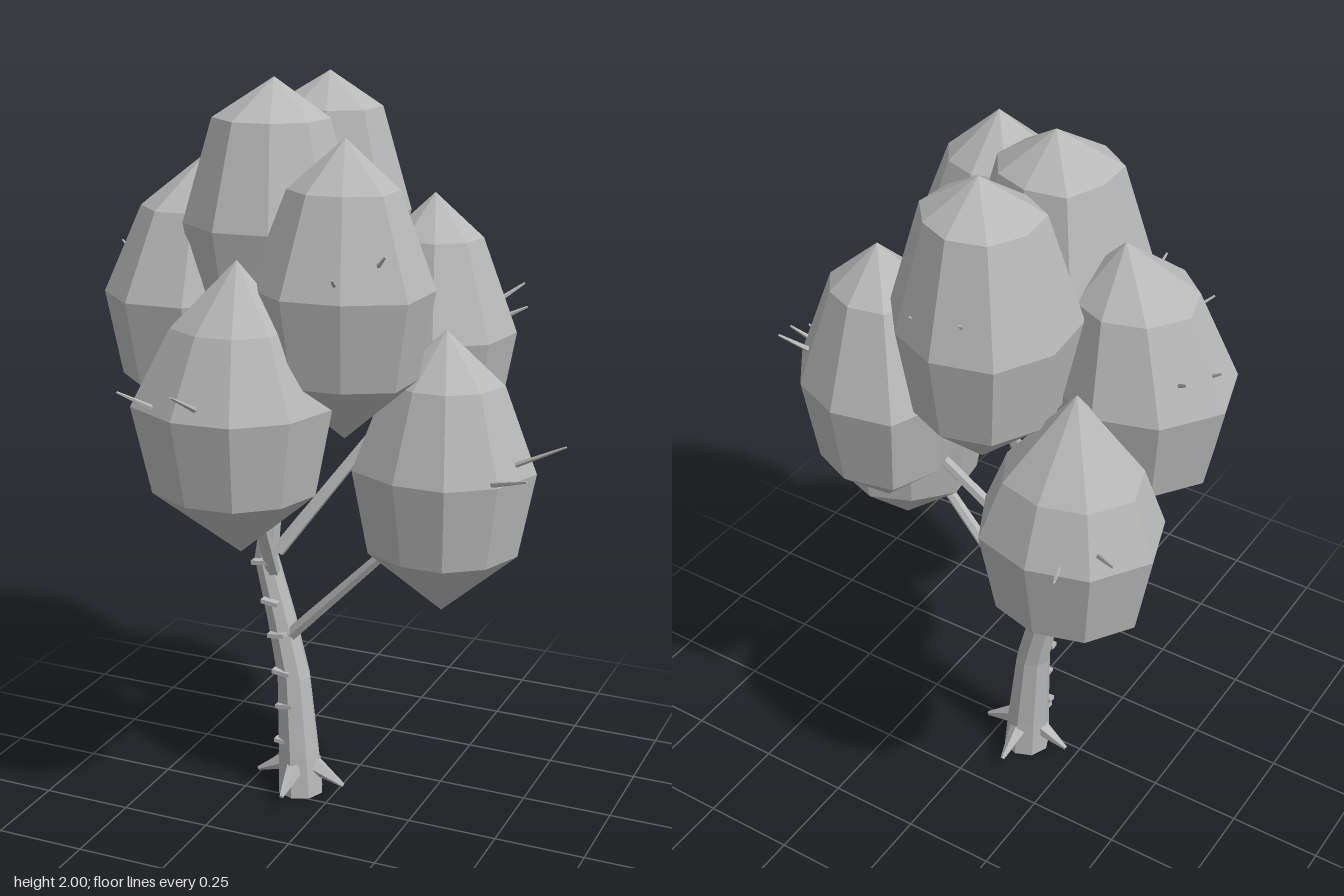
import * as THREE from 'three';

const grey = new THREE.MeshStandardMaterial({ color: 0xb8b8b8, flatShading: true });
grey.name = 'plainGrey';

const V = (x, y, z) => new THREE.Vector3(x, y, z);

function add(parent, geometry, name) {
  const mesh = new THREE.Mesh(geometry, grey);
  mesh.name = name;
  parent.add(mesh);
  return mesh;
}

// Tapered stick between two points
function stick(parent, a, b, ra, rb, sides, name) {
  const mesh = add(parent, new THREE.CylinderGeometry(rb, ra, a.distanceTo(b), sides), name);
  mesh.position.copy(a).lerp(b, 0.5);
  mesh.quaternion.setFromUnitVectors(V(0, 1, 0), b.clone().sub(a).normalize());
}

// Closed skin over a list of rings, capped at a bottom and a top point
function skin(rings, bottom, top) {
  const n = rings[0].length;
  const pos = [bottom, ...rings.flat(), top].flatMap((p) => [p.x, p.y, p.z]);
  const at = (r, i) => 1 + r * n + (i % n);
  const last = rings.length - 1;
  const index = [];
  for (let i = 0; i < n; i++) {
    index.push(0, at(0, i), at(0, i + 1));
    for (let r = 0; r < last; r++) {
      index.push(at(r, i), at(r + 1, i), at(r + 1, i + 1), at(r, i), at(r + 1, i + 1), at(r, i + 1));
    }
    index.push(at(last, i), pos.length / 3 - 1, at(last, i + 1));
  }
  const g = new THREE.BufferGeometry();
  g.setAttribute('position', new THREE.Float32BufferAttribute(pos, 3));
  g.setIndex(index);
  g.computeVertexNormals();
  return g;
}

// Ring of points, one per radius, starting at the back
function ring(c, radii) {
  return radii.map((r, i) => {
    const a = (i / radii.length - 0.25) * Math.PI * 2;
    return V(c.x + Math.cos(a) * r, c.y, c.z + Math.sin(a) * r);
  });
}

// Faceted leaf clump: tip at the bottom, widest at mid height, leaning crown
function clump({ base: [x, y, z], crown: [crownAt, crownSize], lean: [dx, dz], radii }) {
  const h = 0.76;
  const profile = [[0.22, 0.82, 0], [0.52, 1, 0], [crownAt, crownSize, 0.5]];
  const rings = profile.map(([f, k, t]) =>
    ring(V(x + dx * t, y + f * h, z + dz * t), radii.map((r) => (r / 100) * k)));
  return skin(rings, V(x, y, z), V(x + dx, y + h, z + dz));
}

// Bottom tip, crown ring height and size, crown lean, outline radii in hundredths
const CLUMPS = {
  frontClump: { base: [-0.11, 0.84, 0.29], crown: [0.78, 0.62], lean: [0, 0],
    radii: [22, 22, 24, 22, 22, 23, 27, 23, 22] },
  leftClump: { base: [0.33, 0.64, -0.005], crown: [0.82, 0.64], lean: [0, 0],
    radii: [21, 21, 24, 21, 20, 20, 24, 23.5, 20.5] },
  backRightClump: { base: [-0.39, 0.74, -0.315], crown: [0.72, 0.75], lean: [0, 0],
    radii: [22.5, 24, 23, 22, 22, 22, 22, 24.5, 23.5] },
  rightClump: { base: [-0.415, 1.03, -0.06], crown: [0.82, 0.66], lean: [0.035, -0.03],
    radii: [23, 22, 24, 22, 23, 24, 23.5, 25.5, 24] },
  crownFrontClump: { base: [-0.155, 1.24, -0.03], crown: [0.87, 0.67], lean: [-0.01, -0.02],
    radii: [21, 21, 22, 22, 21, 22.5, 24, 21.5, 24] },
  crownBackClump: { base: [-0.135, 1.23, -0.325], crown: [0.88, 0.64], lean: [0.01, 0.01],
    radii: [21.5, 20.5, 23, 24, 21, 21, 24, 22.5, 23] },
  frontLeftClump: { base: [0.115, 1.13, 0.145], crown: [0.84, 0.6], lean: [0, 0],
    radii: [21.5, 22, 23, 25, 21.5, 23, 24, 21, 22] },
  backLeftClump: { base: [0.195, 0.935, -0.27], crown: [0.85, 0.58], lean: [0, 0],
    radii: [22, 21, 22.5, 22.5, 21.5, 21, 22, 22, 24.5] },
};

export function createModel() {
  const tree = new THREE.Group();
  tree.name = 'tree';

  for (const [name, spec] of Object.entries(CLUMPS)) add(tree, clump(spec), name);

  // Bent trunk
  const path = [
    [-0.1, 0, -0.05, 0.066], [-0.105, 0.12, -0.05, 0.06], [-0.122, 0.35, -0.055, 0.048],
    [-0.16, 0.52, -0.058, 0.042], [-0.205, 0.69, -0.06, 0.035], [-0.178, 0.9, -0.06, 0.027],
    [-0.16, 1.35, -0.04, 0.018],
  ];
  const centres = path.map(([x, y, z]) => V(x, y, z));
  add(tree, skin(path.map((p, i) => ring(centres[i], Array(8).fill(p[3]))),
    centres[0], centres[path.length - 1]), 'trunk');

  // Root spikes
  for (let i = 0; i < 4; i++) {
    const a = (i * Math.PI) / 2;
    const out = (r, y) => V(-0.1 + Math.cos(a) * r, y, -0.05 + Math.sin(a) * r);
    stick(tree, out(0.03, 0.09), out(0.132, 0.037), 0.03, 0.006, 5, 'root');
  }

  // Bark ridges up the front of the trunk
  const marks = [[-0.135, 0.16], [-0.13, 0.27], [-0.14, 0.37], [-0.153, 0.48],
    [-0.172, 0.575], [-0.2, 0.69], [-0.195, 0.79]];
  marks.forEach(([x, y], i) => {
    const m = add(tree, new THREE.BoxGeometry(0.05, 0.012, 0.022), 'barkRidge');
    m.position.set(x, y, -0.012);
    m.rotation.z = i % 2 ? 0.12 : -0.12;
  });

  // Branches from the trunk into the clumps
  const branches = [
    [-0.13, 0.47, -0.045, 'leftClump'], [-0.2, 0.7, -0.06, 'backRightClump'],
    [-0.18, 0.65, -0.05, 'frontClump'], [-0.17, 0.71, -0.06, 'backLeftClump'],
    [-0.18, 0.8, -0.06, 'crownBackClump'], [-0.175, 0.9, -0.05, 'frontLeftClump'],
  ];
  branches.forEach(([x, y, z, name]) => {
    const end = V(...CLUMPS[name].base);
    end.y += 0.3;
    stick(tree, V(x, y, z), end, 0.02, 0.013, 6, 'branch');
  });

  // Thin twigs poking out of the clumps: base, tip
  const twigs = [
    [-0.13, 1.25, 0.45, -0.135, 1.33, 0.6], [-0.24, 1.23, 0.43, -0.325, 1.3, 0.52],
    [0.48, 1.05, 0.01, 0.66, 1.14, 0.02], [0.46, 1.03, 0.08, 0.61, 1.09, 0.175],
    [-0.5, 1.16, -0.42, -0.62, 1.24, -0.53], [-0.45, 1.14, -0.48, -0.51, 1.2, -0.605],
    [-0.58, 1.48, -0.09, -0.65, 1.53, -0.1], [-0.54, 1.48, -0.14, -0.61, 1.54, -0.2],
    [-0.19, 1.68, -0.46, -0.2, 1.73, -0.51], [-0.08, 1.65, -0.45, -0.05, 1.69, -0.49],
    [0.16, 1.55, 0.3, 0.175, 1.59, 0.365], [0.22, 1.57, 0.25, 0.28, 1.64, 0.29],
    [0.36, 1.36, -0.3, 0.44, 1.4, -0.32], [0.32, 1.38, -0.36, 0.4, 1.44, -0.415],
  ];
  twigs.forEach(([a, b, c, d, e, f]) => stick(tree, V(a, b, c), V(d, e, f), 0.009, 0.003, 5, 'twig'));

  return tree;
}
